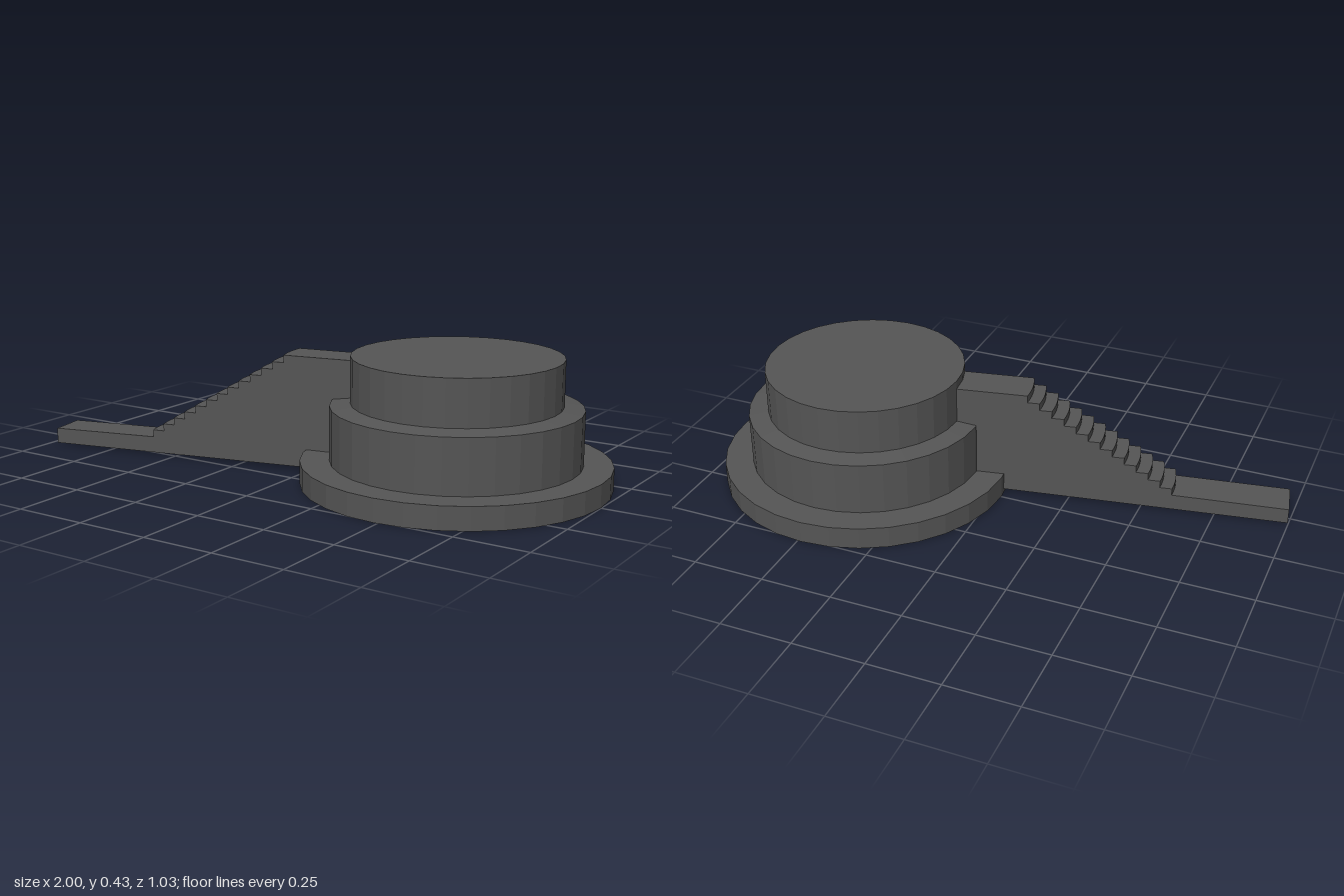
import * as THREE from 'three';

const ANGLE = 0.19;      // heading of the stair away from the drum
const HALF_WIDTH = 0.067;
const STEPS = 13;

export function createModel() {
  const model = new THREE.Group();
  model.name = 'steppedDrumWithStair';
  const grey = new THREE.MeshStandardMaterial({ color: 0x555555, flatShading: true });
  grey.name = 'dark grey';

  const add = (parent, name, geometry) => {
    const mesh = new THREE.Mesh(geometry, grey);
    mesh.name = name;
    parent.add(mesh);
    return mesh;
  };

  // Three-tier round drum, with a slightly sloped upper ledge
  const profile = [
    [0, 0.003], [0.514, 0.003], [0.514, 0.08], [0.416, 0.08],
    [0.416, 0.264], [0.348, 0.274], [0.348, 0.43], [0, 0.43],
  ].map(([r, y]) => new THREE.Vector2(r, y));
  add(model, 'drum', new THREE.LatheGeometry(profile, 32)).position.x = 0.485;

  // Stair group points at the drum axis; local -x runs outward
  const stair = new THREE.Group();
  stair.name = 'stair';
  stair.position.x = 0.485;
  stair.rotation.y = ANGLE;
  model.add(stair);

  // Long, faintly tilted floor strip
  const strip = new THREE.Shape([
    [-1.497, 0.006], [-0.33, 0.02], [-0.33, 0.075], [-1.05, 0.068], [-1.497, 0.06],
  ].map(([x, y]) => new THREE.Vector2(x, y)));
  const stripGeometry = new THREE.ExtrudeGeometry(strip, { depth: HALF_WIDTH * 2, bevelEnabled: false });
  stripGeometry.translate(0, 0, -HALF_WIDTH);
  add(stair, 'floorStrip', stripGeometry);

  // Stacked slabs, each set back from the one below, with a bowed nose
  const base = 0.067;
  const rise = (0.4 - base) / STEPS;
  for (let i = 0; i < STEPS; i++) {
    const nose = -1.097 + i * 0.0424;
    const plan = new THREE.Shape();
    plan.moveTo(-0.33, -HALF_WIDTH);
    plan.lineTo(-0.33, HALF_WIDTH);
    plan.lineTo(nose, HALF_WIDTH);
    plan.quadraticCurveTo(nose - 0.014, 0, nose, -HALF_WIDTH);
    const slab = new THREE.ExtrudeGeometry(plan, { depth: rise, bevelEnabled: false, curveSegments: 6 });
    slab.rotateX(-Math.PI / 2);
    slab.translate(0, base + i * rise, 0);
    add(stair, 'step' + (i + 1), slab);
  }
  return model;
}
